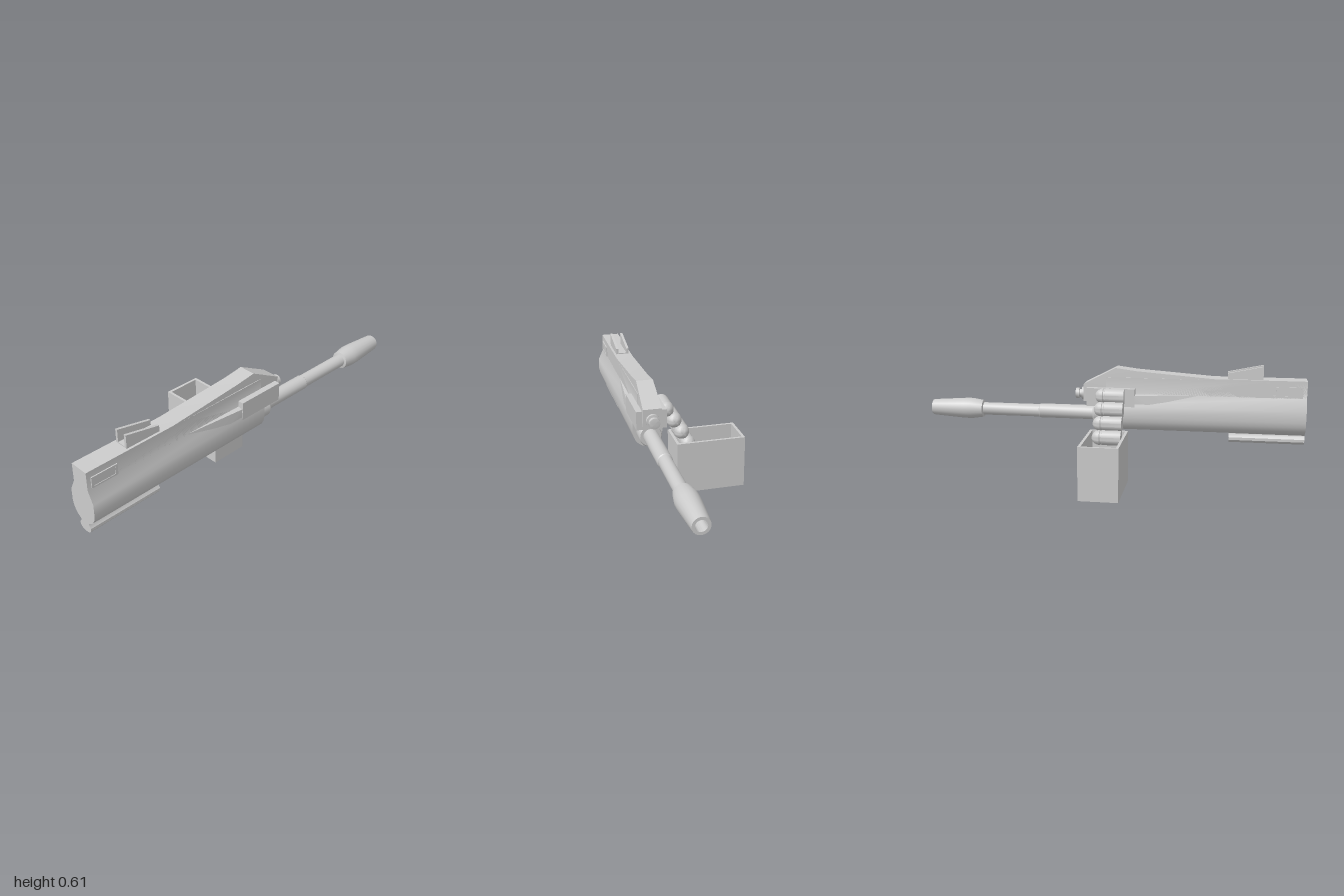
import * as THREE from 'three';
import { toCreasedNormals } from 'three/addons/utils/BufferGeometryUtils.js';

const CX = 0.2065; // centre line of the gun body

export function createModel() {
  const model = new THREE.Group();
  const mat = new THREE.MeshStandardMaterial({ color: 0xcccccc, side: THREE.DoubleSide });

  const add = (name, geo, x = 0, y = 0, z = 0, crease = 0.6) => {
    const mesh = new THREE.Mesh(toCreasedNormals(geo, crease), mat);
    mesh.name = name;
    mesh.position.set(x, y, z);
    model.add(mesh);
    return mesh;
  };
  const box = (name, x0, x1, y0, y1, z0, z1) =>
    add(name, new THREE.BoxGeometry(x1 - x0, y1 - y0, z1 - z0), (x0 + x1) / 2, (y0 + y1) / 2, (z0 + z1) / 2);
  const shapeOf = (pts) => new THREE.Shape(pts.map(([a, b]) => new THREE.Vector2(a, b)));
  const extrude = (shape, depth) => new THREE.ExtrudeGeometry(shape, { depth, bevelEnabled: false });
  // symmetric cross-section in x/y, given as its right half from top to bottom
  const section = (half) => shapeOf([...half, ...half.slice().reverse().map(([x, y]) => [-x, y])]);
  // side profile given as [z, y], extruded across x
  const sideProfile = (pts, width) => {
    const g = extrude(shapeOf(pts.map(([z, y]) => [-z, y])), width);
    g.rotateY(Math.PI / 2);
    return g;
  };
  // turned part with its axis along z; profile is [radius, z]
  const turned = (name, profile, x, y, sides = 20) => {
    const g = new THREE.LatheGeometry(profile.map(([r, z]) => new THREE.Vector2(r, z)), sides);
    g.rotateX(Math.PI / 2);
    return add(name, g, x, y, 0);
  };

  // Receiver: sloped shoulders and rounded belly
  add('receiver', extrude(section([
    [0.047, 0.535], [0.047, 0.45], [0.076, 0.39], [0.076, 0.33], [0.071, 0.305],
    [0.06, 0.282], [0.046, 0.268], [0.028, 0.256],
  ]), 1.03), CX, 0, -0.03);

  // Top cover with a raised hump, narrowing towards its crest
  const cover = sideProfile([
    [1, 0.45], [1, 0.54], [0.53, 0.54], [0.13, 0.57], [0.02, 0.584],
    [-0.15, 0.495], [-0.15, 0.405], [-0.03, 0.4],
  ], 0.094);
  cover.translate(-0.047, 0, 0);
  const p = cover.attributes.position;
  for (let i = 0; i < p.count; i++) {
    if (p.getY(i) > 0.541) p.setX(i, p.getX(i) * 0.9);
  }
  cover.computeVertexNormals();
  add('topCover', cover, CX, 0, 0, 0.3);

  // Feed block and the tapering fairings behind it
  box('feedBlock', CX - 0.0765, CX + 0.0765, 0.385, 0.48, -0.13, 0.125);
  for (const s of [-1, 1]) {
    const fairing = new THREE.BufferGeometry();
    const x0 = 0.04 * s, x1 = 0.073 * s;
    const a = [x0, 0.455, 0.53], b = [x0, 0.45, 0.125], c = [x1, 0.445, 0.125], d = [x1, 0.4, 0.125], e = [x1, 0.4, 0.2];
    const tris = [a, c, b, a, e, c, e, d, c, b, c, d];
    fairing.setAttribute('position', new THREE.Float32BufferAttribute(tris.flat(), 3));
    if (s < 0) {
      const pos = fairing.attributes.position.array;
      for (let i = 0; i < pos.length; i += 9) {
        for (let k = 0; k < 3; k++) [pos[i + 3 + k], pos[i + 6 + k]] = [pos[i + 6 + k], pos[i + 3 + k]];
      }
    }
    fairing.computeVertexNormals();
    add('sideFairing', fairing, CX);

    // Rear side panel: raised frame around a plate
    const plate = shapeOf([[-0.98, 0.453], [-0.845, 0.453], [-0.845, 0.508], [-0.98, 0.508]]);
    plate.holes.push(new THREE.Path([[-0.968, 0.461], [-0.968, 0.5], [-0.857, 0.5], [-0.857, 0.461]]
      .map(([u, v]) => new THREE.Vector2(u, v))));
    const frame = extrude(plate, 0.006);
    frame.rotateY(Math.PI / 2);
    add('panelFrame', frame, s > 0 ? CX + 0.0465 : CX - 0.0525);
    box('panelPlate', CX + s * 0.048 - 0.002, CX + s * 0.048 + 0.002, 0.46, 0.501, 0.855, 0.97);

    // Rear sight blade
    add('sightBlade', sideProfile([[0.78, 0.535], [0.78, 0.608], [0.6, 0.57], [0.6, 0.535]], 0.013),
      CX + s * 0.0285 - 0.0065);
  }
  box('sightBase', CX - 0.028, CX + 0.028, 0.535, 0.545, 0.6, 0.78);

  // Rounded rail under the rear of the body
  add('lowerRail', extrude(section([
    [0.034, 0.265], [0.026, 0.254], [0.028, 0.246], [0.037, 0.234], [0.037, 0.22], [0.026, 0.207], [0.008, 0.202],
  ]), 0.385), CX, 0, 0.615);

  // Barrel collar, barrel and hollow muzzle
  turned('barrelCollar', [[0, 0], [0.058, 0], [0.058, -0.095], [0.053, -0.102], [0, -0.102]], CX, 0.335);
  turned('barrel', [[0.038, -0.09], [0.038, -0.395], [0.034, -0.4], [0.034, -0.72]], CX, 0.335);
  turned('muzzle', [
    [0.03, -0.71], [0.046, -0.715], [0.056, -0.78], [0.055, -0.82], [0.043, -0.99], [0.041, -1],
    [0.027, -1], [0.025, -0.9], [0, -0.9],
  ], CX, 0.335);

  // Guide rod stub above the barrel
  turned('guideRod', [
    [0, -0.13], [0.034, -0.13], [0.034, -0.165], [0.022, -0.167], [0.022, -0.178],
    [0.028, -0.18], [0.028, -0.198], [0.017, -0.2], [0, -0.2],
  ], CX, 0.438, 12);

  // Open ammunition box
  const wall = 0.014;
  box('boxFloor', -0.285, 0.072, 0, wall, -0.1, 0.1);
  const rim = shapeOf([[-0.285, -0.1], [0.072, -0.1], [0.072, 0.1], [-0.285, 0.1]]);
  rim.holes.push(new THREE.Path([
    [-0.285 + wall, -0.1 + wall], [-0.285 + wall, 0.1 - wall], [0.072 - wall, 0.1 - wall], [0.072 - wall, -0.1 + wall],
  ].map(([u, v]) => new THREE.Vector2(u, v))));
  const walls = extrude(rim, 0.272);
  walls.rotateX(-Math.PI / 2);
  add('boxWalls', walls);

  // Round-nosed shells climbing from the box to the feed
  const shell = [[0, 0.073], [0.039, 0.073], [0.039, -0.025], [0.036, -0.027], [0.036, -0.034]];
  for (let i = 0; i <= 5; i++) {
    const t = (i / 5) * Math.PI / 2;
    shell.push([0.039 * Math.cos(t), -0.038 - 0.042 * Math.sin(t)]);
  }
  for (const [x, y] of [[0.113, 0.444], [0.073, 0.382], [0.034, 0.316], [0.002, 0.249]]) {
    turned('shell', shell, x, y, 14);
  }
  return model;
}
